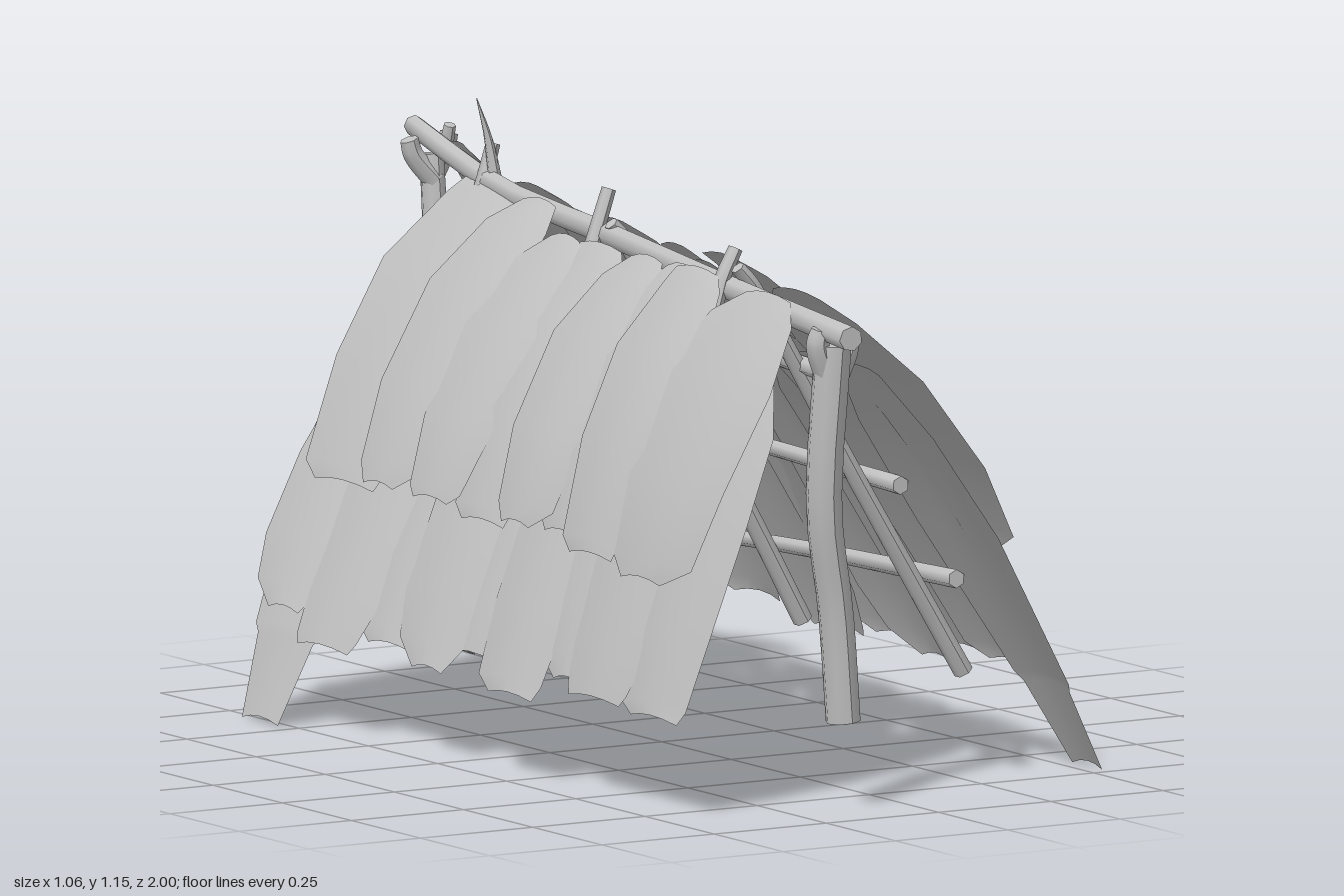
import * as THREE from 'three';

const grey = new THREE.MeshStandardMaterial({ color: 0xc0c0c0, side: THREE.DoubleSide });
grey.name = 'plain grey';

const V = (x, y, z) => new THREE.Vector3(x, y, z);
const ridgeX = z => -0.067 - 0.13 * z;

// Tapered, bent branch through a few points
function branch(name, points, r0, r1, sides = 7) {
  const curve = new THREE.CatmullRomCurve3(points.map(p => V(...p)));
  const geo = new THREE.CylinderGeometry(1, 1, 1, sides, 10);
  const pos = geo.attributes.position, q = new THREE.Quaternion(), up = V(0, 1, 0);
  for (let i = 0; i < pos.count; i++) {
    const t = pos.getY(i) + 0.5;
    q.setFromUnitVectors(up, curve.getTangent(t));
    const p = V(pos.getX(i), 0, pos.getZ(i)).multiplyScalar(r0 + (r1 - r0) * t)
      .applyQuaternion(q).add(curve.getPoint(t));
    pos.setXYZ(i, p.x, p.y, p.z);
  }
  geo.computeVertexNormals();
  const mesh = new THREE.Mesh(geo, grey);
  mesh.name = name;
  return mesh;
}

// Roof slope: x for a height and z on one side
function slopeX(side, y, z) {
  const t = (0.98 - y) / 0.8;
  const f = Math.sign(t) * Math.pow(Math.abs(t), 0.85);
  const edge = side > 0 ? 0.43 : -0.47;
  return ridgeX(z) + (edge - ridgeX(z)) * f;
}

// Bark outlines: [distance down the sheet, half width, sideways shift]
const outlines = {
  Upper: [
    [[0, 0.4, 0.12], [0.08, 0.72, 0.05], [0.3, 1, 0], [0.65, 0.9, 0], [0.93, 0.7, 0], [1, 0.35, -0.1]],
    [[0, 0.5, -0.2], [0.05, 0.66, -0.1], [0.28, 1, 0], [0.6, 0.84, 0], [0.95, 0.66, 0], [1, 0.5, 0.1]],
    [[0, 0.35, 0], [0.1, 0.8, 0], [0.35, 1, 0], [0.7, 0.82, -0.05], [0.96, 0.6, -0.08], [1, 0.4, -0.1]],
  ],
  Lower: [
    [[0, 0.5, 0], [0.15, 0.9, 0], [0.4, 1, 0], [0.75, 0.92, 0], [0.96, 0.8, 0], [1, 0.55, 0.15]],
    [[0, 0.4, 0.1], [0.2, 0.95, 0], [0.5, 1, 0], [0.85, 0.85, -0.05], [0.97, 0.7, -0.1], [1, 0.6, -0.1]],
    [[0, 0.45, -0.1], [0.2, 0.85, 0], [0.55, 1, 0], [0.8, 0.95, 0], [0.93, 0.75, 0.05], [1, 0.35, 0.2]],
  ],
};
const longOutline = [[0, 0.5, 0], [0.15, 0.9, 0], [0.4, 1, 0], [0.78, 0.66, 0], [0.8, 0.55, 0], [1, 0.36, 0]];

// One curved sheet of bark laid on the slope
function sheet(side, [z, yTop, yBot, width, liftTop, liftBot, lean = 0], outline, bulge, name) {
  const cols = 4, verts = [], index = [];
  outline.forEach(([v, w, shift], r) => {
    for (let c = 0; c <= cols; c++) {
      const u = c / cols * 2 - 1;
      const pz = z + (u * w + shift) * width / 2 + lean * v;
      const y = yTop + (yBot - yTop) * v - 0.01 * u * u;
      const lift = liftTop + (liftBot - liftTop) * v + bulge * Math.sin(Math.PI * v) - 0.018 * u * u * w;
      verts.push(slopeX(side, y, z) + side * lift, y, pz);
      if (r && c) {
        const a = (r - 1) * (cols + 1) + c - 1, b = a + cols + 1;
        if (side > 0) index.push(a, a + 1, b, a + 1, b + 1, b);
        else index.push(a, b, a + 1, a + 1, b, b + 1);
      }
    }
  });
  const geo = new THREE.BufferGeometry();
  geo.setAttribute('position', new THREE.Float32BufferAttribute(verts, 3));
  geo.setIndex(index);
  geo.computeVertexNormals();
  const mesh = new THREE.Mesh(geo, grey);
  mesh.name = name;
  return mesh;
}

export function createModel() {
  const model = new THREE.Group();
  model.name = 'barkShelter';

  // Ridge pole and the two forked posts
  const frame = new THREE.Group();
  frame.name = 'frame';
  frame.add(
    branch('ridgePole', [[-0.195, 0.925, 1], [-0.13, 0.945, 0.45], [-0.055, 0.965, -0.1], [0.005, 0.985, -0.6], [0.06, 1.045, -0.995]], 0.024, 0.02),
    branch('frontPost', [[-0.12, 0.165, 0.85], [-0.14, 0.38, 0.855], [-0.175, 0.58, 0.87], [-0.17, 0.9, 0.895]], 0.034, 0.036, 8),
    branch('backPost', [[0.01, 0.25, -0.905], [0.025, 0.48, -0.92], [0.055, 0.62, -0.92], [0.06, 0.82, -0.915], [0.06, 1.0, -0.93]], 0.028, 0.024, 8),
    branch('frontForkRight', [[-0.18, 0.84, 0.89], [-0.205, 0.9, 0.895], [-0.2, 0.93, 0.9]], 0.026, 0.02),
    branch('frontForkLeft', [[-0.16, 0.84, 0.89], [-0.13, 0.89, 0.88], [-0.13, 0.92, 0.87]], 0.026, 0.02),
    branch('backForkLeft', [[0.06, 0.95, -0.93], [0.095, 1.0, -0.94], [0.105, 1.035, -0.94]], 0.022, 0.018),
    branch('backForkRight', [[0.06, 0.95, -0.92], [0.02, 1.0, -0.93], [0.01, 1.03, -0.93]], 0.022, 0.018),
    branch('backForkTip', [[0.07, 1.0, -0.9], [0.07, 1.06, -0.88]], 0.016, 0.012),
  );

  // Rafters meeting at the ridge, and rails along each slope
  for (const side of [1, -1]) {
    for (const [z, foot, peak] of [[0.48, 0.17, 1.02], [-0.1, 0.19, 1.05], [-0.63, 0.25, 1.06]]) {
      const rx = ridgeX(z);
      frame.add(branch('rafter', [
        [side * 0.37, foot, z + side * 0.01],
        [(rx + side * 0.34) / 2, 0.6, z + side * 0.015],
        [rx + side * 0.025, 0.95, z + side * 0.02],
        [rx - side * 0.01, side > 0 ? 0.99 : peak, z + side * 0.02],
      ], 0.019, 0.014, 6));
    }
    const end = side > 0 ? -0.74 : -0.8;
    for (const [y0, y1] of [[0.79, 0.76], [0.56, 0.54], [0.37, 0.29]]) {
      const railPoint = (y, z) => [slopeX(side, y, z) - side * 0.025, y, z];
      frame.add(branch('rail', [railPoint(y0, 0.6), railPoint((y0 + y1) / 2 + 0.01, -0.1), railPoint(y1, end)], 0.018, 0.012, 6));
    }
  }
  frame.add(
    branch('ridgeSpike', [[0.02, 0.97, -0.63], [0.005, 1.07, -0.635], [-0.018, 1.15, -0.64]], 0.016, 0.001, 5),
    branch('railKnot', [[-0.4, 0.34, 0.55], [-0.385, 0.38, 0.57]], 0.024, 0.018, 6),
  );
  model.add(frame);

  // Bark sheets: [z, top, bottom, width, lift at top, lift at bottom, lean]
  const leftUpper = [
    [0.645, 0.97, 0.45, 0.43, 0.02, 0.06], [0.41, 1.0, 0.5, 0.28, 0.04, 0.08],
    [0.28, 0.97, 0.52, 0.28, 0.01, 0.05], [0.11, 0.98, 0.52, 0.27, 0.03, 0.07],
    [-0.11, 0.99, 0.52, 0.28, 0.04, 0.08], [-0.33, 0.98, 0.5, 0.28, 0.03, 0.07],
    [-0.6, 0.99, 0.46, 0.42, 0.01, 0.06], [-0.5, 1.0, 0.62, 0.26, 0.05, 0.14, -0.05],
    [-0.81, 1.04, 0.47, 0.2, 0.05, 0.05, -0.04], [-0.73, 1.01, 0.48, 0.28, 0.03, 0.07],
  ];
  const leftLower = [
    [0.54, 0.82, 0.2, 0.3, 0.0, 0.02], [0.38, 0.84, 0.2, 0.3, 0.015, 0.03],
    [0.24, 0.8, 0.17, 0.28, 0.0, 0.01], [0.1, 0.84, 0.19, 0.28, 0.015, 0.03],
    [-0.05, 0.82, 0.18, 0.3, 0.0, 0.01], [-0.2, 0.84, 0.2, 0.28, 0.015, 0.03],
    [-0.36, 0.82, 0.21, 0.3, 0.0, 0.01], [-0.53, 0.84, 0.22, 0.3, 0.01, 0.02],
    [-0.77, 0.84, 0.36, 0.24, 0.0, 0.01],
  ];
  const rightUpper = [
    [0.65, 0.97, 0.44, 0.4, 0.02, 0.06], [0.42, 0.98, 0.46, 0.3, 0.04, 0.07],
    [0.29, 0.97, 0.48, 0.28, 0.02, 0.05], [0.15, 0.97, 0.48, 0.28, 0.04, 0.07],
    [-0.03, 0.96, 0.46, 0.3, 0.02, 0.05], [-0.18, 0.96, 0.48, 0.3, 0.04, 0.07],
    [-0.38, 1.0, 0.48, 0.3, 0.05, 0.07], [-0.57, 1.0, 0.46, 0.42, 0.02, 0.05],
  ];
  const rightLower = [
    [0.71, 0.82, 0.19, 0.3, 0.0, 0.01], [0.54, 0.84, 0.2, 0.3, 0.015, 0.02],
    [0.38, 0.82, 0.22, 0.3, 0.0, 0.01], [0.22, 0.84, 0.17, 0.28, 0.015, 0.02],
    [0.07, 0.82, 0.22, 0.28, 0.0, 0.01], [-0.09, 0.84, 0.18, 0.3, 0.015, 0.02],
    [-0.25, 0.82, 0.2, 0.28, 0.0, 0.01], [-0.42, 0.84, 0.17, 0.3, 0.015, 0.02],
    [-0.64, 0.82, 0.22, 0.3, 0.0, 0.02],
  ];
  const covers = { leftUpper, leftLower, rightUpper, rightLower };
  for (const [name, list] of Object.entries(covers)) {
    const side = name.startsWith('left') ? 1 : -1;
    const row = name.slice(-5);
    const group = new THREE.Group();
    group.name = name + 'Bark';
    list.forEach((s, i) => group.add(sheet(side, s, outlines[row][i % 3], row === 'Upper' ? 0.035 : 0.015, 'barkSheet')));
    model.add(group);
  }

  // Long sheets reaching the ground
  model.add(
    sheet(1, [0.71, 0.82, 0.01, 0.3, 0.01, 0.0, -0.04], longOutline, 0.01, 'longBarkLeft'),
    sheet(-1, [-0.62, 0.78, 0.01, 0.36, 0.02, -0.035, 0.01], longOutline, 0.02, 'longBarkRight'),
  );
  return model;
}
